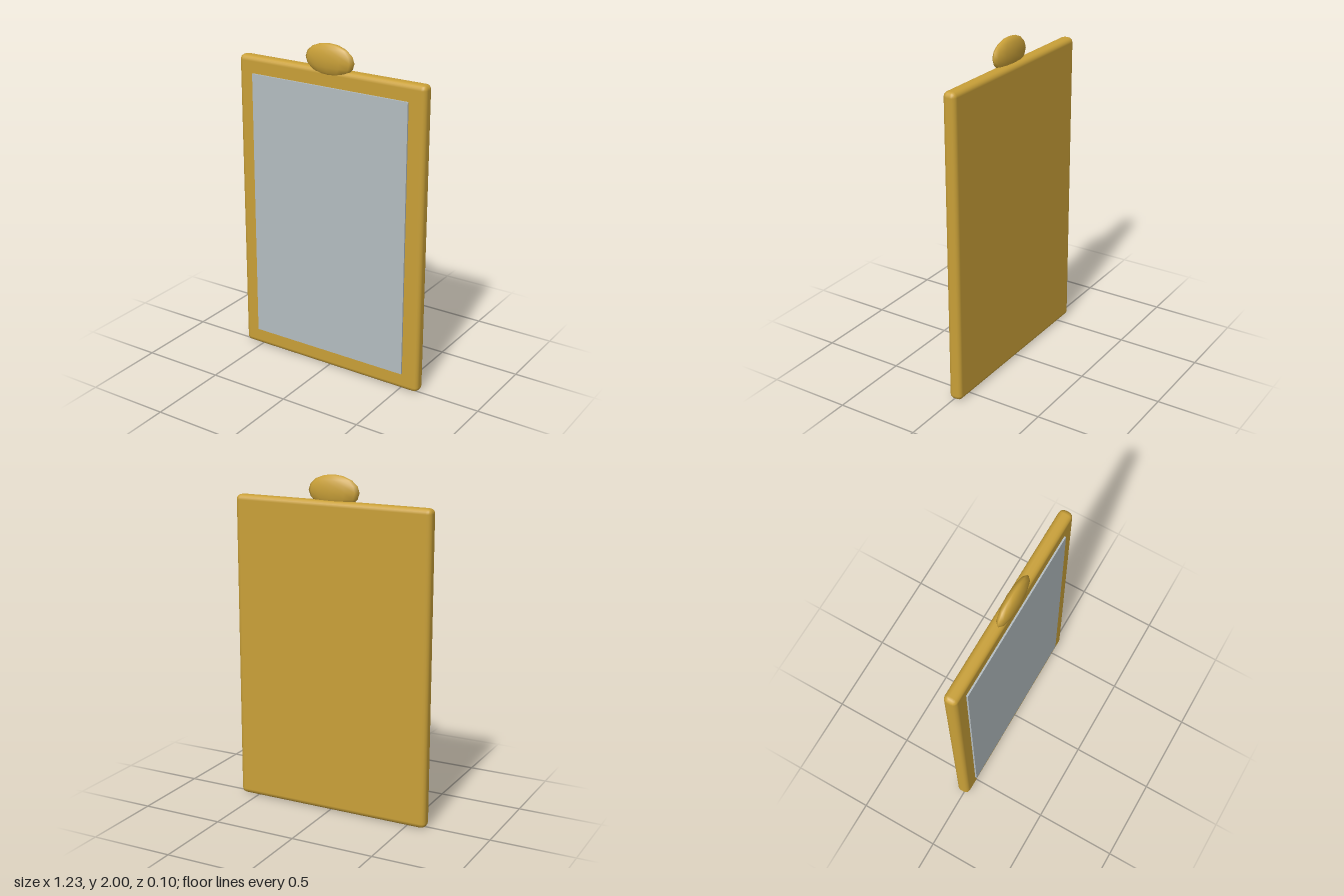
import * as THREE from 'three';
import { RoundedBoxGeometry } from 'three/addons/geometries/RoundedBoxGeometry.js';

export function createModel() {
  const model = new THREE.Group();
  const gold = new THREE.MeshStandardMaterial({ color: 0xc9a038 });
  const glass = new THREE.MeshStandardMaterial({ color: 0xb4bdc1 });

  const add = (name, geometry, material, x, y, z) => {
    const mesh = new THREE.Mesh(geometry, material);
    mesh.name = name;
    mesh.position.set(x, y, z);
    model.add(mesh);
    return mesh;
  };

  // Rounded slab forming the frame and its back
  add('frame', new RoundedBoxGeometry(1.234, 1.855, 0.08, 2, 0.03), gold, 0, 0.9275, -0.01);

  // Thin mirror pane standing slightly proud of the frame
  add('mirrorPane', new THREE.BoxGeometry(1.032, 1.65, 0.02), glass, 0, 0.93, 0.03);

  // Flattened oval ornament on the top edge
  const crest = add('crestOrnament', new THREE.SphereGeometry(1, 12, 8), gold, 0, 1.905, 0.01);
  crest.scale.set(0.161, 0.095, 0.04);

  return model;
}
